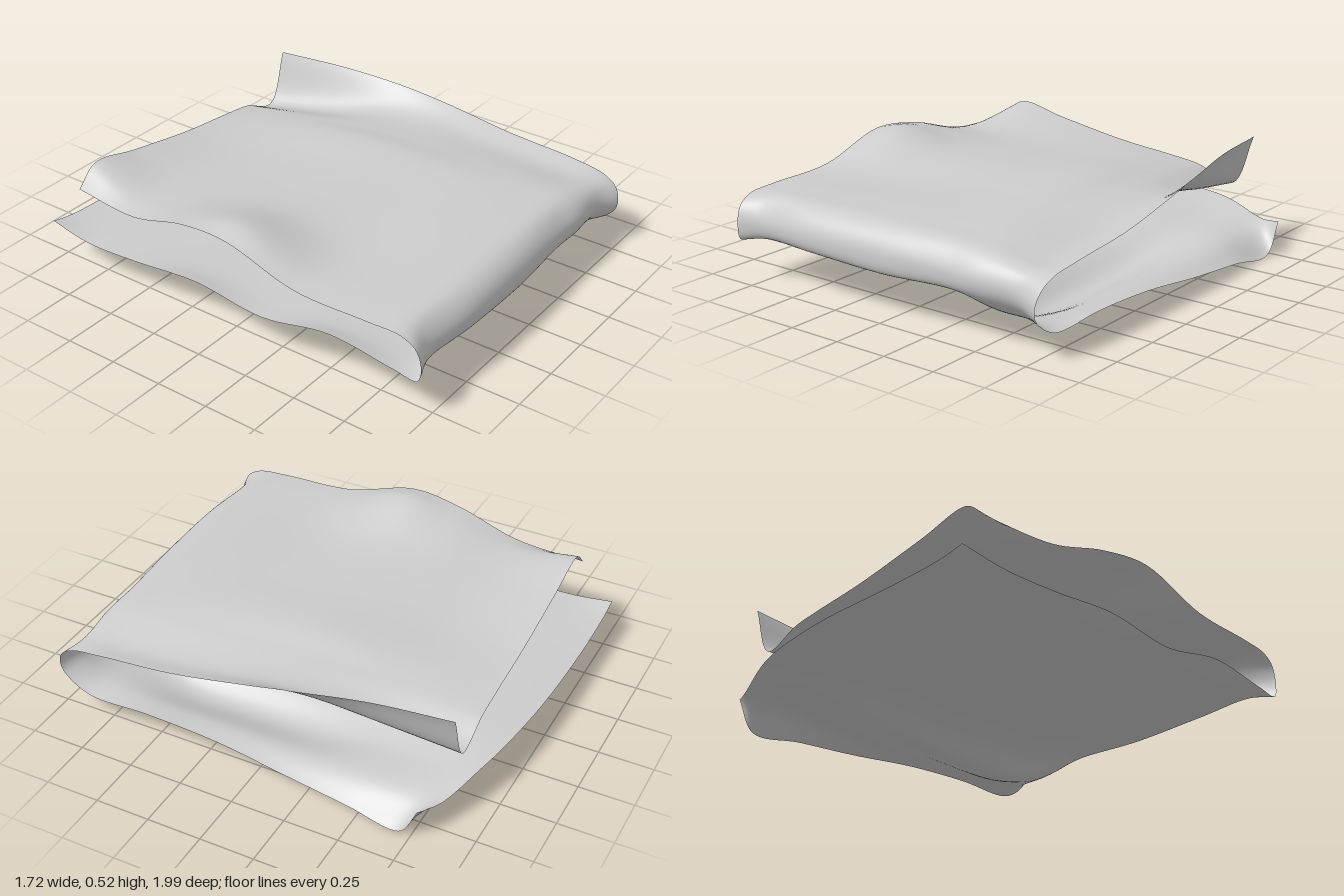
import * as THREE from 'three';

// Positions across the cloth, from its right edge (0) to its left edge (1)
const ACROSS = [0, 0.07, 0.25, 0.5, 0.7, 0.8, 0.93, 1];
// Forward and backward ripple of the front fold at those positions
const RIPPLE = [0.02, -0.012, 0.01, 0.004, -0.01, -0.006, -0.018, 0.02];

// Cross-sections: z, z offset (ripple at the front, skew at the back),
// x at both edges, then heights across
const upperLayer = [
  [-0.85, 0, -0.785, 0.67, [0.4, 0.485, 0.44, 0.38, 0.35, 0.33, 0.27, 0.51]],
  [-0.5, 0, -0.82, 0.715, [0.4, 0.415, 0.41, 0.39, 0.39, 0.37, 0.33, 0.51]],
  [-0.2, 0, -0.84, 0.76, [0.48, 0.475, 0.43, 0.415, 0.425, 0.4, 0.39, 0.485]],
  [0.05, 0, -0.86, 0.785, [0.5, 0.52, 0.44, 0.425, 0.435, 0.41, 0.4, 0.45]],
  [0.4, 0, -0.86, 0.8, [0.4, 0.405, 0.395, 0.41, 0.42, 0.4, 0.37, 0.395]],
  [0.75, 0, -0.85, 0.805, [0.39, 0.395, 0.4, 0.405, 0.4, 0.39, 0.35, 0.365]],
  [0.89, 0.5, -0.84, 0.8, [0.38, 0.385, 0.39, 0.39, 0.385, 0.375, 0.345, 0.34]],
];
const frontFold = [
  [0.945, 1, -0.835, 0.795, [0.34, 0.34, 0.345, 0.345, 0.34, 0.335, 0.32, 0.3]],
  [0.97, 1, -0.83, 0.785, [0.26, 0.27, 0.28, 0.28, 0.28, 0.275, 0.26, 0.24]],
  [0.955, 1, -0.83, 0.78, [0.19, 0.21, 0.215, 0.2, 0.21, 0.21, 0.2, 0.18]],
];
const lowerLayer = [
  [0.85, 0.3, -0.83, 0.78, [0.2, 0.19, 0.18, 0.19, 0.19, 0.13, 0.12, 0.1]],
  [0.55, 0, -0.83, 0.78, [0.235, 0.2, 0.18, 0.16, 0.11, 0.02, 0.085, 0.1]],
  [0.2, 0, -0.83, 0.78, [0.175, 0.17, 0.17, 0.15, 0.09, 0.01, 0.08, 0.08]],
  [-0.15, 0, -0.83, 0.8, [0.21, 0.18, 0.165, 0.15, 0.1, 0.04, 0.08, 0.045]],
  [-0.5, 0.05, -0.83, 0.83, [0.18, 0.175, 0.17, 0.17, 0.15, 0.11, 0.1, 0.03]],
  [-0.78, 0.08, -0.83, 0.85, [0.17, 0.17, 0.17, 0.17, 0.165, 0.14, 0.1, 0.01]],
  [-1, 0.22, -0.82, 0.855, [0.2, 0.18, 0.17, 0.18, 0.18, 0.17, 0.13, 0.15]],
];

// Smooth curve through points, sampled evenly
function sample(points, count) {
  const curve = new THREE.CatmullRomCurve3(points);
  return Array.from({ length: count + 1 }, (_, i) => curve.getPoint(i / count));
}

// Loft a smooth sheet through the cross-sections
function loft(sections, nu, nv) {
  const rows = sections.map(([z, offset, x0, x1, heights]) =>
    sample(heights.map((y, i) => {
      const u = ACROSS[i];
      const shift = z > 0 ? RIPPLE[i] : u ** 4;
      return new THREE.Vector3(THREE.MathUtils.lerp(x0, x1, u), y, z + offset * shift);
    }), nu));
  const positions = [];
  const indices = [];
  for (let i = 0; i <= nu; i++) {
    for (const p of sample(rows.map((row) => row[i]), nv)) {
      positions.push(p.x, Math.max(p.y, 0), p.z);
    }
  }
  for (let i = 0; i < nu; i++) {
    for (let j = 0; j < nv; j++) {
      const a = i * (nv + 1) + j;
      const c = a + nv + 1;
      indices.push(a, a + 1, c, a + 1, c + 1, c);
    }
  }
  const geometry = new THREE.BufferGeometry();
  geometry.setAttribute('position', new THREE.Float32BufferAttribute(positions, 3));
  geometry.setIndex(indices);
  geometry.computeVertexNormals();
  return geometry;
}

export function createModel() {
  const group = new THREE.Group();
  group.name = 'foldedCloth';

  const fabric = new THREE.MeshStandardMaterial({ color: 0xcccccc, side: THREE.DoubleSide });
  fabric.name = 'light grey fabric';

  // One continuous sheet: upper layer, rounded fold, lower layer
  const cloth = new THREE.Mesh(loft([...upperLayer, ...frontFold, ...lowerLayer], 70, 128), fabric);
  cloth.name = 'clothSheet';
  group.add(cloth);
  return group;
}
